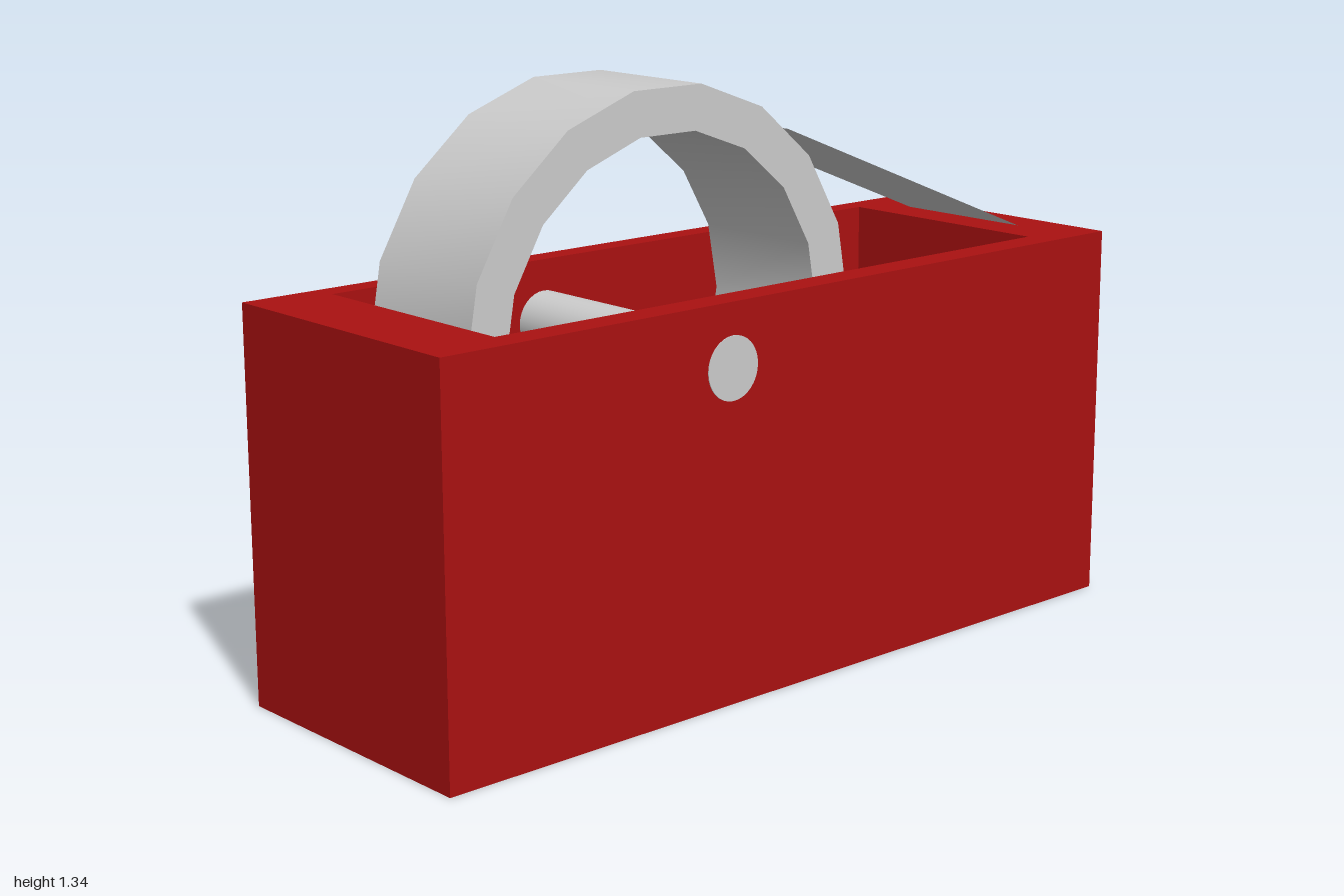
import * as THREE from 'three';
import { toCreasedNormals } from 'three/addons/utils/BufferGeometryUtils.js';

const red = new THREE.MeshStandardMaterial({ color: 0xaa1111 });
const grey = new THREE.MeshStandardMaterial({ color: 0xcccccc });
const greySheet = new THREE.MeshStandardMaterial({ color: 0xcccccc, side: THREE.DoubleSide });

function rectangle(Type, x0, x1, z0, z1) {
  return new Type([[x0, z0], [x1, z0], [x1, z1], [x0, z1]].map(([x, z]) => new THREE.Vector2(x, z)));
}

export function createModel() {
  const model = new THREE.Group();
  const add = (name, geometry, material, x = 0, y = 0, z = 0) => {
    const mesh = new THREE.Mesh(geometry, material);
    mesh.name = name;
    mesh.position.set(x, y, z);
    model.add(mesh);
    return mesh;
  };

  // Open box: rectangular walls around the well
  const height = 0.905;
  const [wellX0, wellX1, wellZ] = [-0.29, 0.275, 0.81];
  const outline = rectangle(THREE.Shape, -0.347, 0.347, -1, 1);
  outline.holes.push(rectangle(THREE.Path, wellX0, wellX1, -wellZ, wellZ));
  const walls = new THREE.ExtrudeGeometry(outline, { depth: height, bevelEnabled: false });
  add('boxWalls', walls.rotateX(-Math.PI / 2), red);

  // Floor of the well, filling it between the walls
  const floor = 0.15;
  add('boxFloor', new THREE.BoxGeometry(wellX1 - wellX0, floor, 2 * wellZ), red,
    (wellX0 + wellX1) / 2, floor / 2, 0);

  // Tape roll: an 18-sided ring of rectangular section around the x axis
  const [inner, outer, half] = [0.452, 0.554, 0.168];
  const section = [[inner, -half], [outer, -half], [outer, half], [inner, half], [inner, -half]];
  const roll = new THREE.LatheGeometry(section.map(([r, y]) => new THREE.Vector2(r, y)), 18);
  roll.rotateZ(Math.PI / 2);
  add('tapeRoll', toCreasedNormals(roll, Math.PI / 6), grey, -0.0125, 0.797, 0.24);

  // Axle: blind in one wall, flush with the outside of the other
  const [axleX0, axleX1] = [-0.32, 0.349];
  const axle = new THREE.CylinderGeometry(0.072, 0.072, axleX1 - axleX0, 32).rotateZ(Math.PI / 2);
  add('axle', axle, grey, (axleX0 + axleX1) / 2, 0.76, 0.228);

  // Loose end of tape, running from the roll down to the back rim
  const [topY, topZ, endY, endZ] = [1.222, -0.105, 0.908, -0.895];
  const length = Math.hypot(topY - endY, topZ - endZ);
  const strip = new THREE.PlaneGeometry(0.36, length).rotateX(-Math.PI / 2);
  const tape = add('tapeEnd', strip, greySheet, -0.012, (topY + endY) / 2, (topZ + endZ) / 2);
  tape.rotation.x = -Math.atan2(topY - endY, topZ - endZ);

  return model;
}
